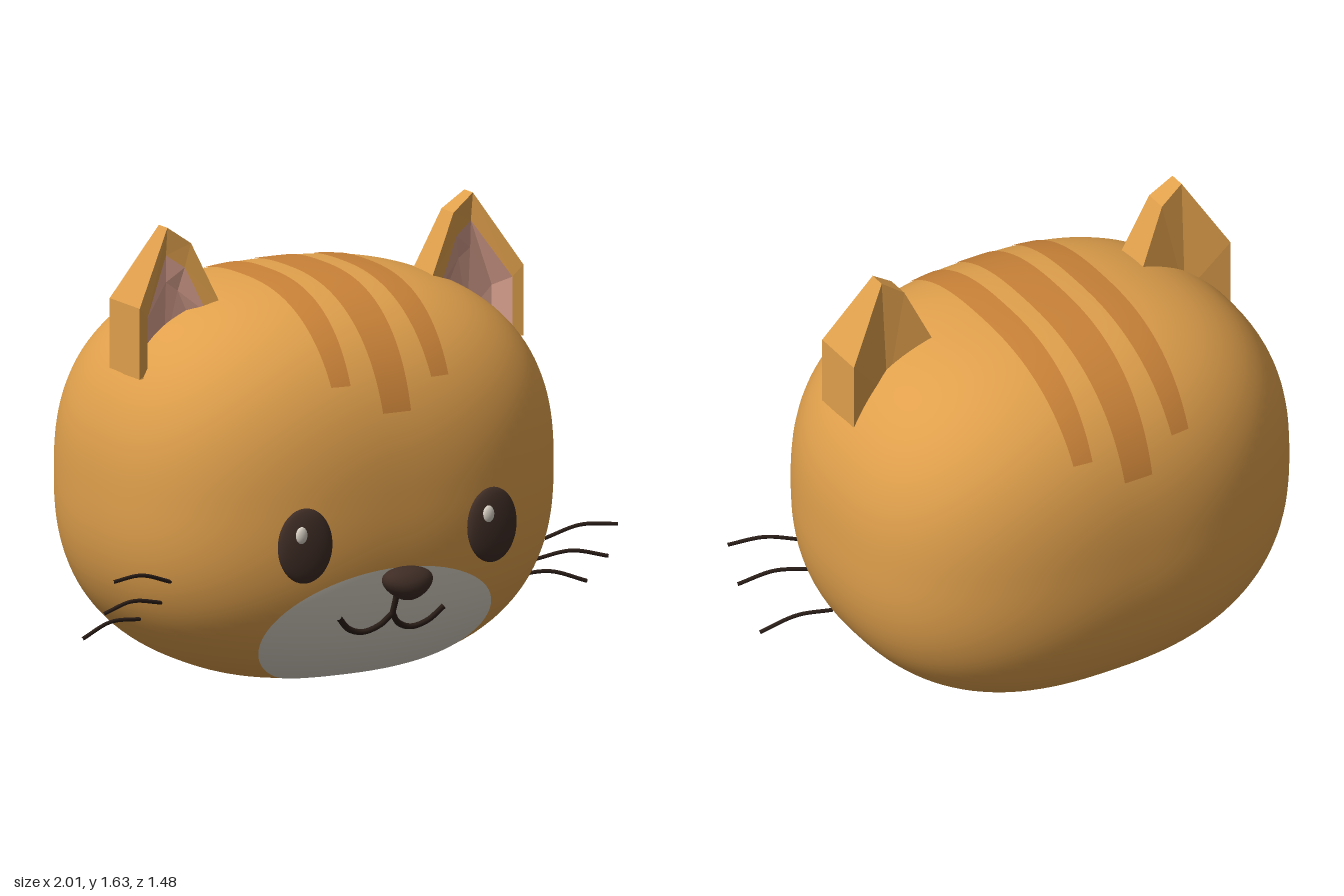
import * as THREE from 'three';

const mat = (name, color) => Object.assign(new THREE.MeshStandardMaterial({ color }), { name });

// Head: a rounded superellipsoid
const N = 2.5, R = [0.86, 0.712, 0.685], C = [0, 0.715, -0.055];
const pw = (v, e) => Math.sign(v) * Math.abs(v) ** e;

// Moves every vertex of a geometry onto the head surface, with exact normals.
// rule(vertex) returns a point of the unit superellipsoid.
function onHead(geo, rule, lift = 1) {
  const p = geo.attributes.position, v = new THREE.Vector3(), n = new THREE.Vector3();
  for (let i = 0; i < p.count; i++) {
    const [x, y, z] = rule(v.fromBufferAttribute(p, i));
    p.setXYZ(i, C[0] + R[0] * lift * x, C[1] + R[1] * lift * y, C[2] + R[2] * lift * z);
    n.set(pw(x, N - 1) / R[0], pw(y, N - 1) / R[1], pw(z, N - 1) / R[2]).normalize();
    geo.attributes.normal.setXYZ(i, n.x, n.y, n.z);
  }
  return geo;
}

// Unit depth of the head front at unit x, y
const depth = (x, y) => Math.max(0, 1 - Math.abs(x) ** N - Math.abs(y) ** N) ** (1 / N);
// Point on the head front at model x, y
const front = (x, y, out = 0) =>
  new THREE.Vector3(x, y, C[2] + R[2] * depth(x / R[0], (y - C[1]) / R[1]) + out);

export function createModel() {
  const model = new THREE.Group();
  const fur = mat('orange fur', 0xe0a04c), stripeMat = mat('stripe orange', 0xc98238);
  const white = mat('muzzle white', 0xd9d2c6), pink = mat('ear pink', 0xd39c8a);
  const dark = mat('dark brown', 0x3e2c25), line = mat('line brown', 0x2b1e18);

  const add = (name, geo, material, parent = model) => {
    const m = new THREE.Mesh(geo, material);
    m.name = name;
    parent.add(m);
    return m;
  };
  const tube = (name, pts, r, smooth = 20) =>
    add(name, new THREE.TubeGeometry(new THREE.CatmullRomCurve3(pts), smooth, r, 8), line);

  add('head', onHead(new THREE.SphereGeometry(1, 112, 80), v => {
    const k = (Math.abs(v.x) ** N + Math.abs(v.y) ** N + Math.abs(v.z) ** N) ** (1 / N);
    return [v.x / k, v.y / k, v.z / k];
  }), fur);

  // Muzzle: an oval patch following the head, plane u = radius, v = angle
  add('muzzle', onHead(new THREE.PlaneGeometry(1, 1, 32, 72), v => {
    const r = 1 - (0.5 - v.x) ** 2, a = v.y * Math.PI * 2;
    const x = 0.445 * r * Math.cos(a) / R[0];
    const y = (0.242 + 0.238 * r * Math.sin(a) - C[1]) / R[1];
    return [x, y, depth(x, y)];
  }, 1.004), white);

  // Stripes running from the forehead over the crown to the back
  const stripe = (name, cx, yEnd, wEnd, wMid) =>
    add(name, onHead(new THREE.PlaneGeometry(1, 1, 6, 64), v => {
      const t = v.y + 0.5, w = wEnd + (wMid - wEnd) * Math.sin(Math.PI * t);
      const x = (cx + 2 * v.x * w) / R[0];
      const r = (1 - Math.abs(x) ** N) ** (1 / N);
      const a0 = Math.asin(((yEnd - C[1]) / R[1] / r) ** (N / 2));
      const a = a0 + (Math.PI - 2 * a0) * t;
      return [x, r * pw(Math.sin(a), 2 / N), r * pw(Math.cos(a), 2 / N)];
    }, 1.004), stripeMat);
  stripe('middleStripe', 0, 1.02, 0.055, 0.07);
  stripe('leftStripe', 0.195, 1.12, 0.036, 0.052);
  stripe('rightStripe', -0.195, 1.12, 0.036, 0.052);

  // Ear outline: x, y, front z, back z
  const outline = [
    [0.76, 1.13, 0.14, -0.07], [0.76, 1.38, 0.14, -0.07], [0.605, 1.635, 0.06, 0],
    [0.52, 1.575, 0.075, -0.01], [0.42, 1.36, 0.1, -0.04], [0.5, 1.14, 0.1, -0.04],
  ];
  const inset = (k, zRule) => outline.map(([x, y, f, b]) =>
    [0.6 + (x - 0.6) * k, 1.2 + (y - 1.2) * k, zRule(f, b)]);
  // Faceted skin between consecutive rings, mirrored by s
  const skin = (rings, s) => {
    const pos = [];
    const tri = (...t) => (s > 0 ? t : t.reverse()).forEach(p => pos.push(s * p[0], p[1], p[2]));
    for (let r = 0; r + 1 < rings.length; r++)
      for (let i = 0; i < outline.length; i++) {
        const j = (i + 1) % outline.length, a = rings[r], b = rings[r + 1];
        tri(a[i], a[j], b[i]);
        tri(a[j], b[j], b[i]);
      }
    const g = new THREE.BufferGeometry();
    g.setAttribute('position', new THREE.Float32BufferAttribute(pos, 3));
    g.computeVertexNormals();
    return g;
  };
  const rim = inset(0.77, f => f - 0.012);

  for (const s of [1, -1]) {
    const side = s > 0 ? 'left' : 'right';

    const ear = new THREE.Group();
    ear.name = side + 'Ear';
    model.add(ear);
    add('earShell', skin([inset(0, () => -0.03), inset(1, (f, b) => b), inset(1, f => f), rim], s), fur, ear);
    add('innerEar', skin([rim, inset(0.55, () => 0.045), inset(0, () => 0.03)], s), pink, ear);

    const eye = add(side + 'Eye', new THREE.SphereGeometry(1, 40, 28), dark);
    eye.scale.set(0.102, 0.132, 0.032);
    eye.position.set(s * 0.37, 0.59, 0.608);
    eye.rotation.y = s * 0.1;

    // Both glints sit to the same side
    const glint = add(side + 'EyeGlint', new THREE.SphereGeometry(1, 20, 14), white);
    glint.scale.set(0.022, 0.03, 0.012);
    glint.position.set(s * 0.37 - 0.03, 0.635, 0.637);

    // Whiskers: base, bend and tip
    [
      [[0.74, 0.45, 0.32], [0.87, 0.49, 0.345], [1, 0.485, 0.375]],
      [[0.74, 0.365, 0.255], [0.87, 0.387, 0.28], [1, 0.36, 0.308]],
      [[0.74, 0.28, 0.105], [0.87, 0.287, 0.13], [1, 0.245, 0.16]],
    ].forEach((w, i) =>
      tube(`${side}Whisker${i + 1}`, w.map(([x, y, z]) => new THREE.Vector3(s * x, y, z)), 0.007));

    // Half of the smile
    tube(side + 'Mouth', [[0, 0.31], [0.035, 0.268], [0.095, 0.245], [0.155, 0.262], [0.208, 0.312]]
      .map(([x, y]) => front(s * x, y, 0.008)), 0.011, 32);
  }
  tube('mouthStem', [0.4, 0.355, 0.31].map(y => front(0, y, 0.008)), 0.011);

  // Nose: a ball narrowing downwards
  const noseGeo = new THREE.SphereGeometry(1, 40, 28), p = noseGeo.attributes.position;
  for (let i = 0; i < p.count; i++) p.setX(i, p.getX(i) * (1 + 0.3 * p.getY(i)));
  noseGeo.scale(0.09, 0.059, 0.07);
  noseGeo.computeVertexNormals();
  add('nose', noseGeo, dark).position.set(0, 0.433, 0.67);

  return model;
}
